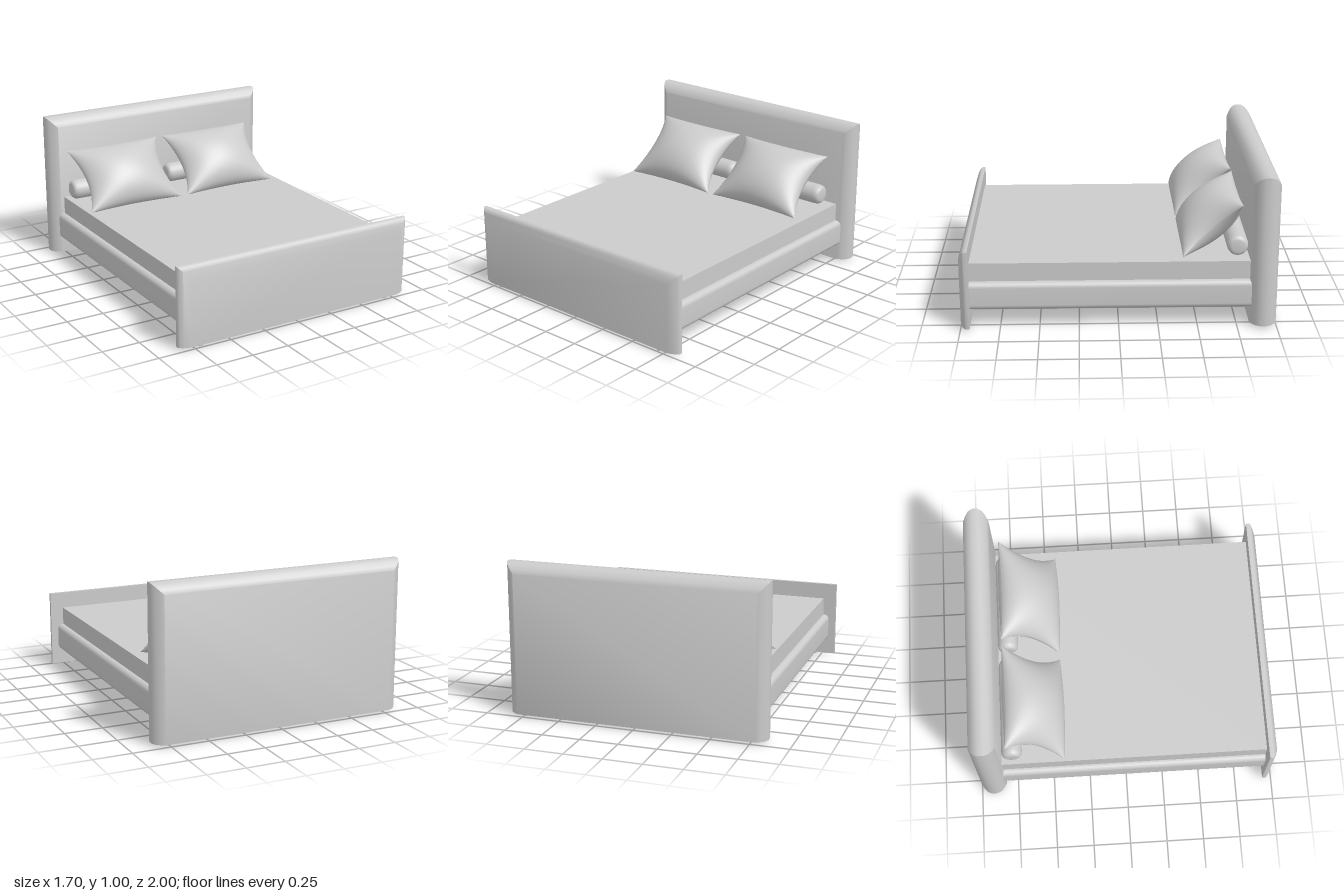
import * as THREE from 'three';
import { mergeGeometries, toCreasedNormals } from 'three/addons/utils/BufferGeometryUtils.js';

const material = new THREE.MeshStandardMaterial({ color: 0xcccccc });

function add(parent, name, geometry, x = 0, y = 0, z = 0) {
  const mesh = new THREE.Mesh(geometry, material);
  mesh.name = name;
  mesh.position.set(x, y, z);
  parent.add(mesh);
  return mesh;
}

// Upright panel with a flat bottom; profile lists [z, inset of top and sides] from front to back
function boardGeometry(halfWidth, bottom, top, profile) {
  const positions = [];
  const index = [0, 1, 2, 0, 2, 3];
  profile.forEach(([z, inset], i) => {
    const w = halfWidth - inset;
    const t = top - inset;
    positions.push(-w, bottom, z, w, bottom, z, w, t, z, -w, t, z);
    if (i === 0) return;
    for (let j = 0; j < 4; j++) {
      const a = (i - 1) * 4 + j;
      const b = (i - 1) * 4 + (j + 1) % 4;
      index.push(a, a + 4, b, b, a + 4, b + 4);
    }
  });
  const k = (profile.length - 1) * 4;
  index.push(k, k + 2, k + 1, k, k + 3, k + 2);
  const geometry = new THREE.BufferGeometry();
  geometry.setAttribute('position', new THREE.Float32BufferAttribute(positions, 3));
  geometry.setIndex(index);
  return toCreasedNormals(geometry, 0.7);
}

// Rounded bar running along z
function railGeometry(halfWidth, y0, y1, r, z0, z1) {
  const w = halfWidth;
  const s = new THREE.Shape();
  s.moveTo(-w + r, y0);
  s.lineTo(w - r, y0);
  s.absarc(w - r, y0 + r, r, -Math.PI / 2, 0, false);
  s.absarc(w - r, y1 - r, r, 0, Math.PI / 2, false);
  s.absarc(-w + r, y1 - r, r, Math.PI / 2, Math.PI, false);
  s.absarc(-w + r, y0 + r, r, Math.PI, Math.PI * 1.5, false);
  const g = new THREE.ExtrudeGeometry(s, { depth: z1 - z0, bevelEnabled: false, curveSegments: 6 });
  g.translate(0, 0, z0);
  return toCreasedNormals(g, 0.6);
}

// Two puffed sheets joined at a seam, leaning back, pressed flat against the mattress
function pillowGeometry(width, height, puff, tilt, centreY, centreZ, floorY) {
  const sheets = [1, -1].map((side) => {
    const g = new THREE.PlaneGeometry(2, 2, 32, 28);
    const p = g.attributes.position;
    for (let i = 0; i < p.count; i++) {
      const u = Math.sin(p.getX(i) * Math.PI / 2) * side;
      const v = Math.sin(p.getY(i) * Math.PI / 2);
      const fu = Math.max(0, 1 - u * u);
      const fv = Math.max(0, 1 - v * v);
      p.setXYZ(i,
        u * width / 2 * (1 - 0.18 * fv),
        v * height / 2 * (1 - 0.07 * fu),
        side * puff * Math.pow(fu, 0.6) * Math.pow(fv, 0.5));
    }
    g.rotateX(-tilt);
    g.translate(0, centreY, centreZ);
    for (let i = 0; i < p.count; i++) p.setY(i, Math.max(floorY, p.getY(i)));
    g.computeVertexNormals();
    return g;
  });
  return mergeGeometries(sheets);
}

// Round cushion with softened ends, lying along x
function bolsterGeometry(length, r) {
  const h = length / 2;
  const points = [[0, -h], [r * 0.6, -h], [r * 0.82, -h + 0.008], [r * 0.95, -h + 0.022], [r, -h + 0.045]];
  const profile = points.concat(points.map(([x, y]) => [x, -y]).reverse());
  const g = new THREE.LatheGeometry(profile.map(([x, y]) => new THREE.Vector2(x, y)), 24);
  return g.rotateZ(Math.PI / 2);
}

export function createModel() {
  const bed = new THREE.Group();
  bed.name = 'bed';

  // End boards
  add(bed, 'headboard', boardGeometry(0.85, 0.015, 1, [
    [-0.83, 0.065], [-0.845, 0.04], [-0.865, 0.015], [-0.895, 0],
    [-0.935, 0], [-0.965, 0.015], [-0.985, 0.04], [-1, 0.065]]));
  add(bed, 'footboard', boardGeometry(0.85, 0.015, 0.535, [
    [1, 0.07], [0.985, 0.028], [0.972, 0.008], [0.962, 0], [0.94, 0]]));

  // Base and mattress
  add(bed, 'base', railGeometry(0.8, 0.12, 0.305, 0.035, -0.84, 0.945));
  add(bed, 'mattress', new THREE.BoxGeometry(1.52, 0.125, 1.78), 0, 0.3625, 0.05);

  // Feet under both boards
  for (const x of [-0.7, 0.7]) {
    for (const z of [-0.915, 0.972]) {
      add(bed, 'foot', new THREE.CylinderGeometry(0.018, 0.018, 0.02, 16), x, 0.01, z);
    }
  }

  // Pillows and the bolsters behind them
  const pillow = pillowGeometry(0.705, 0.505, 0.152, 0.83, 0.602, -0.595, 0.427);
  const bolster = bolsterGeometry(0.68, 0.068);
  for (const x of [-0.397, 0.353]) {
    add(bed, 'pillow', pillow, x);
    add(bed, 'bolster', bolster, x, 0.495, -0.757);
  }
  return bed;
}
